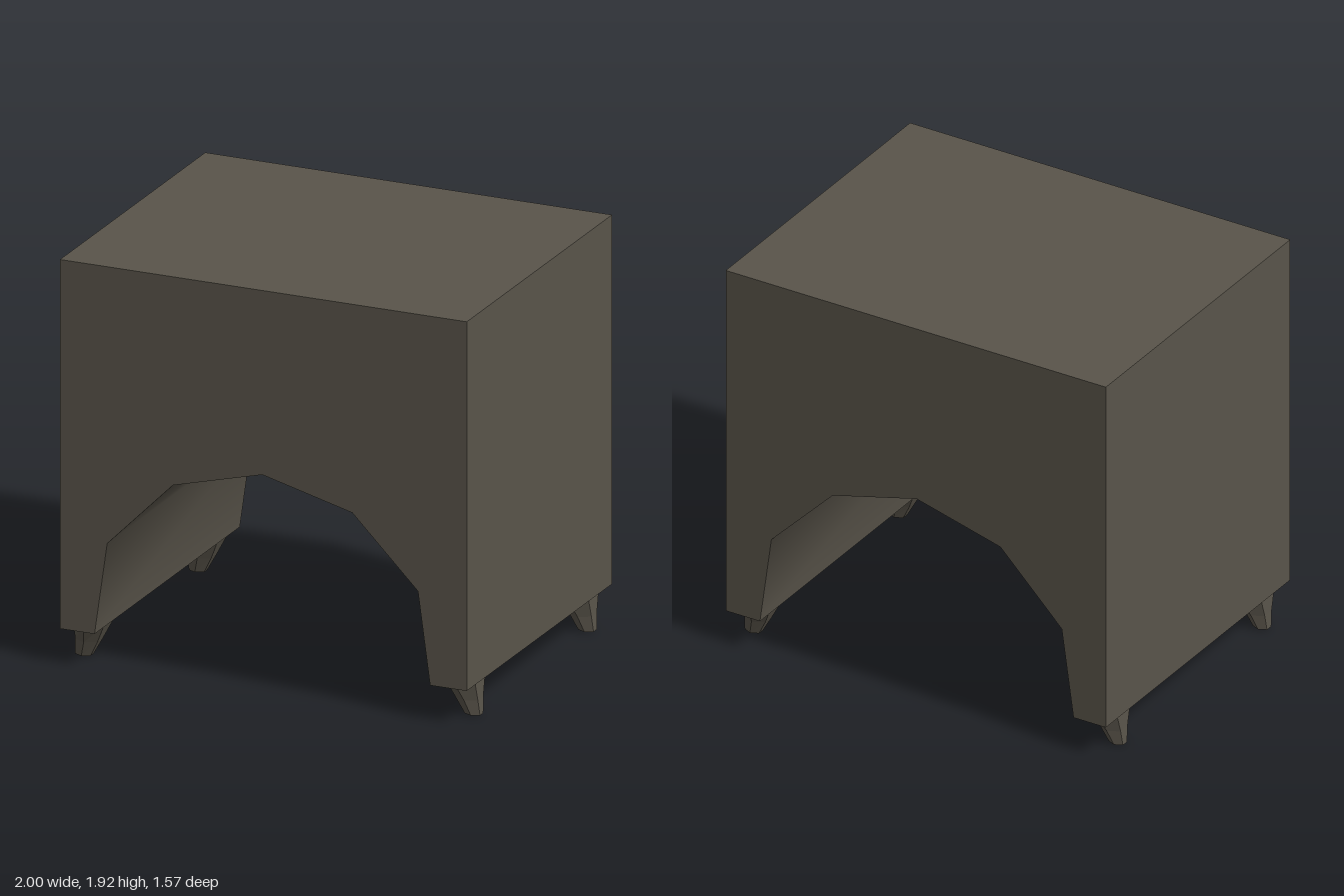
import * as THREE from 'three';
import { toCreasedNormals } from 'three/addons/utils/BufferGeometryUtils.js';

// Foot rings: height, outer x, inner x, half depth
const RINGS = [
  { y: 0, outer: 0.995, inner: 0.92, half: 0.035 },
  { y: 0.075, outer: 0.99, inner: 0.88, half: 0.058 },
  { y: 0.167, outer: 0.987, inner: 0.837, half: 0.11 },
];

// Tapered six-sided foot, flat on its outer side
function footGeometry(side) {
  const geo = new THREE.CylinderGeometry(1, 1, 2, 6, 2);
  const pos = geo.attributes.position;
  for (let i = 0; i < pos.count; i++) {
    const r = RINGS[Math.round(pos.getY(i)) + 1];
    const x = side * (r.outer + r.inner) / 2 + (pos.getX(i) / 0.866) * (r.outer - r.inner) / 2;
    pos.setXYZ(i, x, r.y, pos.getZ(i) * r.half);
  }
  const flat = geo.toNonIndexed();
  flat.computeVertexNormals();
  return flat;
}

export function createModel() {
  const group = new THREE.Group();
  const stone = new THREE.MeshStandardMaterial({ color: 0x59544a });
  stone.name = 'dark stone';

  // Block with a faceted arch running from front to back
  const arch = [
    [0.82, 0.167], [0.76, 0.605], [0.437, 0.93], [-0.005, 1.045],
    [-0.445, 0.93], [-0.768, 0.605], [-0.83, 0.167],
  ];
  const outline = [[-1, 0.167], [-1, 1.92], [1, 1.92], [1, 0.167], ...arch];
  const shape = new THREE.Shape(outline.map(([x, y]) => new THREE.Vector2(x, y)));
  const bodyGeo = new THREE.ExtrudeGeometry(shape, { depth: 1.566, bevelEnabled: false });
  bodyGeo.translate(0, 0, -0.783);
  const body = new THREE.Mesh(toCreasedNormals(bodyGeo, 0.8), stone);
  body.name = 'archBlock';
  group.add(body);

  // Four feet
  for (const side of [-1, 1]) {
    for (const end of [-1, 1]) {
      const foot = new THREE.Mesh(footGeometry(side), stone);
      foot.position.z = end * 0.612;
      foot.name = (end > 0 ? 'front' : 'back') + (side > 0 ? 'Left' : 'Right') + 'Foot';
      group.add(foot);
    }
  }
  return group;
}
